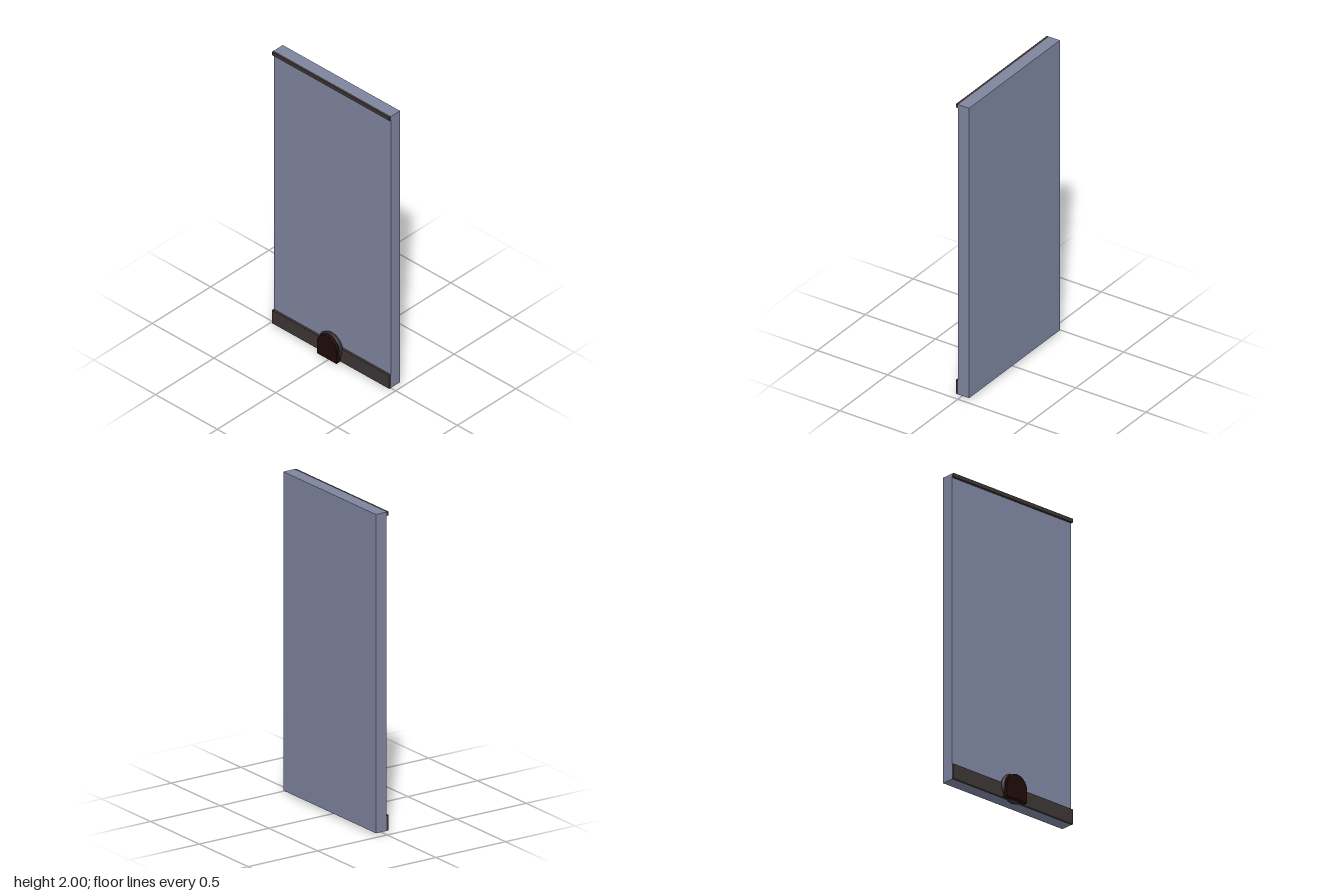
import * as THREE from 'three';

const mat = (name, color) => {
  const m = new THREE.MeshStandardMaterial({ color });
  m.name = name;
  return m;
};

export function createModel() {
  const group = new THREE.Group();
  const slate = mat('slate blue', 0x7d849e);
  const brown = mat('dark brown', 0x3c3434);
  const maroon = mat('dark maroon', 0x200a0a);
  const charcoal = mat('charcoal', 0x2c2a2a);

  const add = (name, geometry, material) => {
    const mesh = new THREE.Mesh(geometry, material);
    mesh.name = name;
    group.add(mesh);
    return mesh;
  };
  // Full-width slab between two heights and two depths
  const slab = (name, y0, y1, z0, z1, material) =>
    add(name, new THREE.BoxGeometry(0.95, y1 - y0, z1 - z0), material)
      .position.set(0, (y0 + y1) / 2, (z0 + z1) / 2);

  slab('panel', 0.016, 2, -0.063, 0.014, slate);
  slab('topTrim', 1.976, 2, 0.014, 0.029, brown);
  slab('bottomTrim', 0.016, 0.112, 0.014, 0.029, brown);

  // Arched block: round top, straight sides, flat base
  const arch = new THREE.Shape();
  arch.moveTo(-0.079, 0.016);
  arch.lineTo(0.079, 0.016);
  arch.lineTo(0.079, 0.1);
  arch.absarc(0, 0.1, 0.079, 0, Math.PI, false);
  arch.closePath();
  const archGeometry = new THREE.ExtrudeGeometry(arch, { depth: 0.049, bevelEnabled: false, curveSegments: 16 });
  add('archBlock', archGeometry, maroon).position.z = 0.014;

  // Ring around the block
  add('ring', new THREE.TorusGeometry(0.08, 0.014, 8, 40), charcoal).position.set(0, 0.094, 0.028);

  return group;
}
